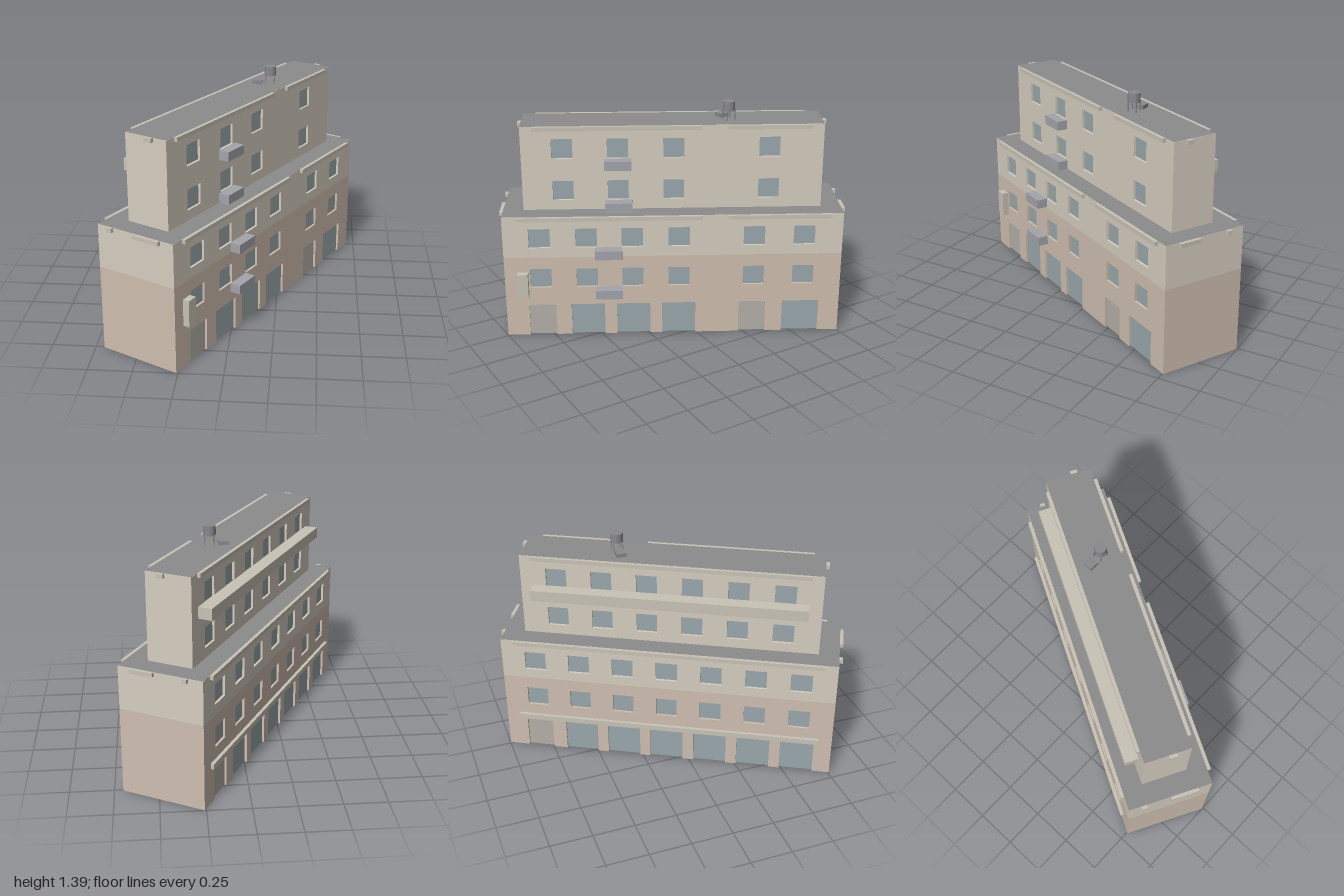
import * as THREE from 'three';

const paint = (c) => new THREE.MeshStandardMaterial({ color: c, flatShading: true });
const M = {
  upper: paint(0xd6cec0), lower: paint(0xcfbfb0), roof: paint(0x8c8c8c), glass: paint(0x9aa8ac),
  door: paint(0xb5b0a8), trim: paint(0xc9c3b6), balcony: paint(0xa3a5ab), metal: paint(0x8a8a8e),
};
const RECESS = 0.015;

// Box given by its extents
function block(parent, name, mat, x0, x1, y0, y1, z0, z1) {
  const m = new THREE.Mesh(new THREE.BoxGeometry(x1 - x0, y1 - y0, z1 - z0), mat);
  m.position.set((x0 + x1) / 2, (y0 + y1) / 2, (z0 + z1) / 2);
  m.name = name;
  parent.add(m);
  return m;
}

// Horizontal sheet facing up or down
function sheet(parent, name, hx, hz, y, up) {
  const m = new THREE.Mesh(new THREE.PlaneGeometry(hx * 2, hz * 2), M.roof);
  m.rotation.x = up ? -Math.PI / 2 : Math.PI / 2;
  m.position.y = y;
  m.name = name;
  parent.add(m);
}

// Wall skin with recessed openings { x, w, y0, y1, mat }; doors notch the bottom edge
function facade(parent, name, mat, hx, y0, y1, z, openings) {
  const g = new THREE.Group();
  g.name = name;
  const shape = new THREE.Shape();
  shape.moveTo(-hx, y0);
  openings.filter((o) => o.y0 <= y0).sort((a, b) => a.x - b.x).forEach((o) => {
    const l = o.x - o.w / 2, r = o.x + o.w / 2;
    shape.lineTo(l, y0);
    shape.lineTo(l, o.y1);
    shape.lineTo(r, o.y1);
    shape.lineTo(r, y0);
  });
  shape.lineTo(hx, y0);
  shape.lineTo(hx, y1);
  shape.lineTo(-hx, y1);
  shape.closePath();
  for (const o of openings) {
    const l = o.x - o.w / 2, r = o.x + o.w / 2;
    if (o.y0 > y0) {
      const h = new THREE.Path();
      h.moveTo(l, o.y0);
      h.lineTo(l, o.y1);
      h.lineTo(r, o.y1);
      h.lineTo(r, o.y0);
      h.closePath();
      shape.holes.push(h);
    }
    const pane = new THREE.Mesh(new THREE.PlaneGeometry(o.w, o.y1 - o.y0), o.mat);
    pane.position.set(o.x, (o.y0 + o.y1) / 2, z - RECESS + 0.001);
    pane.name = o.mat === M.door ? 'door' : 'window';
    g.add(pane);
  }
  const skin = new THREE.Mesh(
    new THREE.ExtrudeGeometry(shape, { depth: RECESS, bevelEnabled: false }), mat);
  skin.position.z = z - RECESS;
  skin.name = name + 'Wall';
  g.add(skin);
  parent.add(g);
  return g;
}

const row = (xs, w, y0, y1) => xs.map((x) => ({ x, w, y0, y1, mat: M.glass }));
const shopfronts = (list) => list.map(([x, w, mat]) => ({ x, w, y0: 0, y1: 0.2, mat }));

// One storey band: solid core with a skin on the front and the back
function band(parent, name, mat, hx, hz, y0, y1, front, back) {
  block(parent, name + 'Core', mat, -hx, hx, y0, y1, -hz + RECESS, hz - RECESS);
  facade(parent, name + 'Front', mat, hx, y0, y1, hz, front);
  // the back is turned round, so its openings run the other way
  const turned = back.map((o) => ({ ...o, x: -o.x }));
  facade(parent, name + 'Back', mat, hx, y0, y1, hz, turned).rotation.y = Math.PI;
}

export function createModel() {
  const model = new THREE.Group();
  model.name = 'apartmentBlock';
  const b = new THREE.Group();
  b.name = 'building';
  b.rotation.y = 1.0702;
  model.add(b);

  // Walls
  const frontX = [-0.786, -0.512, -0.241, 0.033, 0.477, 0.773];
  const backX = Array.from({ length: 7 }, (_, i) => 0.795 - 0.265 * i);
  const topFrontX = [-0.642, -0.32, 0.006, 0.565];
  const topBackX = Array.from({ length: 6 }, (_, i) => 0.667 - 0.267 * i);
  band(b, 'lowerStorey', M.lower, 1, 0.252, 0, 0.51,
    [...row(frontX, 0.126, 0.315, 0.435), ...shopfronts([[-0.784, 0.16, M.door], [-0.512, 0.2, M.glass],
      [-0.24, 0.2, M.glass], [0.032, 0.2, M.glass], [0.473, 0.16, M.door], [0.766, 0.22, M.glass]])],
    [...row(backX, 0.126, 0.315, 0.435),
      ...shopfronts(backX.map((x, i) => (i ? [x, 0.2, M.glass] : [x, 0.16, M.door])))]);
  band(b, 'middleStorey', M.upper, 1, 0.252, 0.51, 0.765,
    row(frontX, 0.126, 0.57, 0.69), row(backX, 0.126, 0.57, 0.69));
  band(b, 'upperStorey', M.upper, 0.88, 0.134, 0.765, 1.275,
    [...row(topFrontX, 0.122, 0.825, 0.945), ...row(topFrontX, 0.122, 1.08, 1.2)],
    [...row(topBackX, 0.122, 0.825, 0.945), ...row(topBackX, 0.122, 1.08, 1.2)]);

  // Roofs and underside
  sheet(b, 'terrace', 1, 0.252, 0.766, true);
  sheet(b, 'roof', 0.88, 0.134, 1.276, true);
  sheet(b, 'underside', 1, 0.252, -0.0005, false);

  // Cornice pieces along the roof edges
  const D = 0.02;
  const cornices = [
    { y: 0.765, hx: 1, hz: 0.252, front: [[-0.92, 0.17], [0.32, 0.928]], back: [[-0.92, 0.92]],
      near: [[0, 0.168], [-0.177, -0.145]], far: [[0.035, 0.172], [-0.165, -0.135]] },
    { y: 1.275, hx: 0.88, hz: 0.134, front: [[-0.81, 0.17], [0.32, 0.806]], back: [[-0.81, 0.81]],
      near: [[0.002, 0.05]], far: [[0.02, 0.06]] },
  ];
  for (const c of cornices) {
    const y0 = c.y - 0.023, y1 = c.y + 0.001;
    c.front.forEach(([p, q]) => block(b, 'frontCornice', M.trim, p, q, y0, y1, c.hz, c.hz + D));
    c.back.forEach(([p, q]) => block(b, 'backCornice', M.trim, p, q, y0, y1, -c.hz - D, -c.hz));
    c.near.forEach(([p, q]) => block(b, 'endCornice', M.trim, -c.hx - D, -c.hx, y0, y1, p, q));
    c.far.forEach(([p, q]) => block(b, 'endCornice', M.trim, c.hx, c.hx + D, y0, y1, p, q));
  }

  // Balconies, wall sign and back ledges
  for (const y of [0.26, 0.515]) block(b, 'balcony', M.balcony, -0.461, -0.302, y, y + 0.055, 0.252, 0.317);
  for (const y of [0.767, 1.025]) block(b, 'balcony', M.balcony, -0.397, -0.239, y, y + 0.055, 0.134, 0.199);
  block(b, 'wallSign', M.trim, -0.925, -0.86, 0.257, 0.415, 0.252, 0.291);
  block(b, 'backGallery', M.trim, -0.805, 0.805, 1.023, 1.09, -0.214, -0.134);
  block(b, 'shopLedge', M.trim, -0.92, 0.92, 0.213, 0.245, -0.272, -0.252);

  // Rooftop tank on legs, and a vent box
  const tank = new THREE.Group();
  tank.name = 'waterTank';
  tank.position.set(0.179, 1.275, -0.28);
  const drum = new THREE.Mesh(new THREE.CylinderGeometry(0.036, 0.036, 0.056, 16), M.metal);
  drum.position.y = 0.083;
  drum.name = 'tankDrum';
  tank.add(drum);
  for (const x of [-0.026, 0.026]) for (const z of [-0.026, 0.026])
    block(tank, 'tankLeg', M.metal, x - 0.003, x + 0.003, 0, 0.056, z - 0.003, z + 0.003);
  model.add(tank);
  block(model, 'roofVent', M.metal, 0.073, 0.131, 1.275, 1.298, -0.312, -0.254);
  return model;
}
